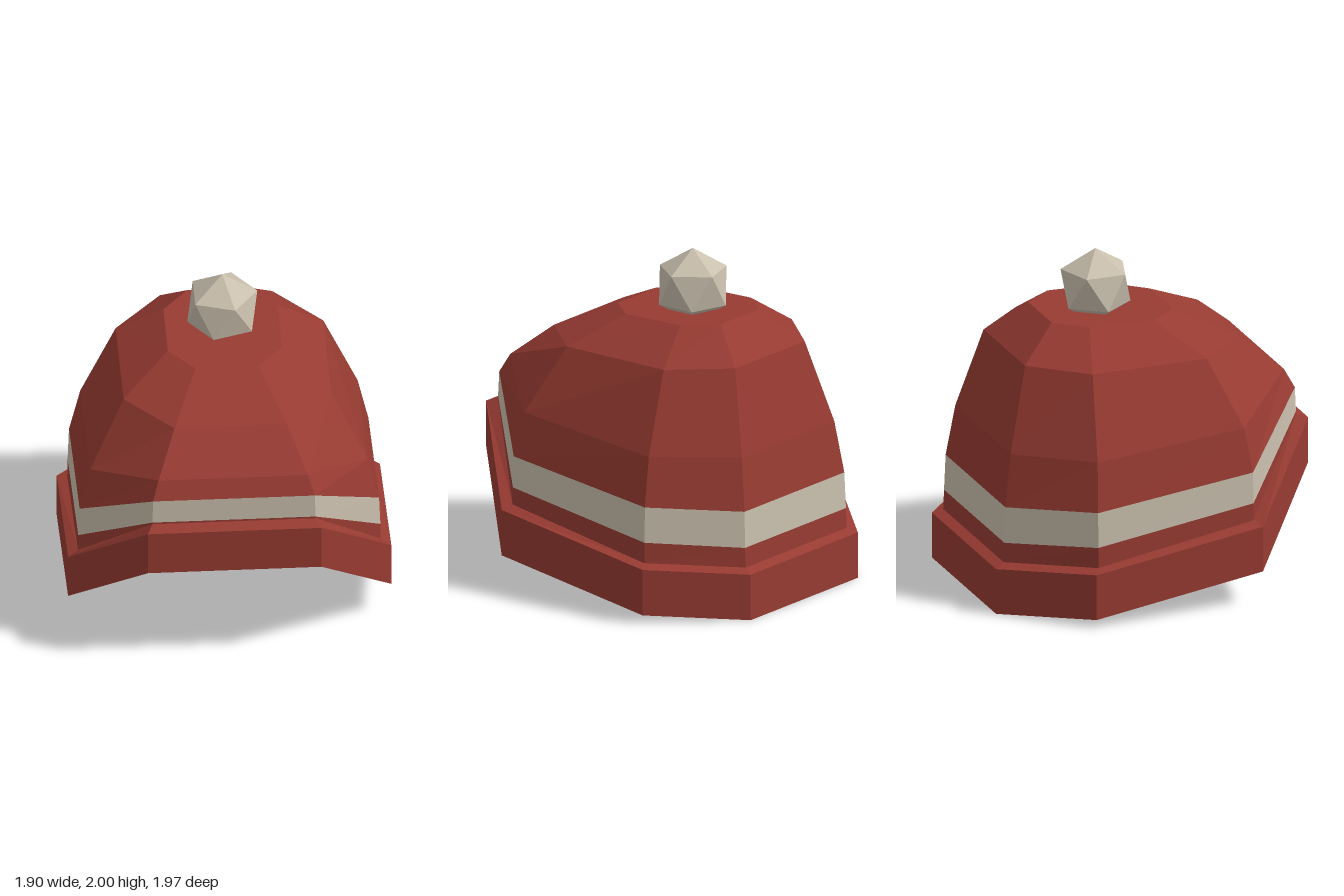
import * as THREE from 'three';

// Eight-sided ring, mirrored in x, from four corners:
// front, front side, back side, back, each as [x, y, z]
function ring(front, frontSide, backSide, back) {
  const half = [front, frontSide, backSide, back];
  const mirrored = half.map(([x, y, z]) => [-x, y, z]).reverse();
  return [...half, ...mirrored];
}

// Faceted skin through successive rings, optionally closed by a flat fan
function skin(rings, capped = false) {
  const pos = [];
  const tri = (a, b, c) => pos.push(...a, ...b, ...c);
  for (let r = 0; r + 1 < rings.length; r++) {
    const lo = rings[r], hi = rings[r + 1];
    for (let i = 0; i < lo.length; i++) {
      const j = (i + 1) % lo.length;
      tri(lo[i], lo[j], hi[j]);
      tri(lo[i], hi[j], hi[i]);
    }
  }
  if (capped) {
    const top = rings[rings.length - 1];
    const centre = [0, 1, 2].map(k => top.reduce((s, p) => s + p[k], 0) / top.length);
    top.forEach((p, i) => tri(p, top[(i + 1) % top.length], centre));
  }
  const geo = new THREE.BufferGeometry();
  geo.setAttribute('position', new THREE.Float32BufferAttribute(pos, 3));
  geo.computeVertexNormals();
  return geo;
}

function material(name, color, side = THREE.DoubleSide) {
  const m = new THREE.MeshStandardMaterial({ color, side, flatShading: true });
  m.name = name;
  return m;
}

export function createModel() {
  const hat = new THREE.Group();
  hat.name = 'knitHat';
  const red = material('redWool', 0x973b32);
  const cream = material('creamWool', 0xc9bfad);

  const add = (name, geo, mat) => {
    const mesh = new THREE.Mesh(geo, mat);
    mesh.name = name;
    hat.add(mesh);
    return mesh;
  };

  // Folded brim: a thick band raised over the forehead
  const outerBottom = ring([0.51, 0.68, 0.985], [0.95, 0.21, 0.525], [0.95, 0.05, -0.525], [0.51, 0, -0.985]);
  const outerTop = ring([0.51, 0.96, 0.985], [0.95, 0.49, 0.525], [0.95, 0.33, -0.525], [0.51, 0.28, -0.985]);
  const innerTop = ring([0.48, 0.985, 0.92], [0.89, 0.515, 0.49], [0.89, 0.35, -0.49], [0.48, 0.305, -0.925]);
  const innerBottom = ring([0.48, 0.69, 0.92], [0.89, 0.23, 0.49], [0.89, 0.07, -0.49], [0.48, 0.025, -0.925]);
  add('brim', skin([outerBottom, outerTop, innerTop, innerBottom, outerBottom]), red);

  // Crown below, at and above the stripe
  const stripeBottom = ring([0.48, 0.997, 0.92], [0.888, 0.62, 0.49], [0.888, 0.475, -0.49], [0.48, 0.425, -0.92]);
  const stripeTop = ring([0.475, 1.145, 0.915], [0.88, 0.81, 0.49], [0.88, 0.69, -0.487], [0.475, 0.645, -0.912]);
  const shoulder = ring([0.44, 1.255, 0.86], [0.815, 1.07, 0.46], [0.815, 0.98, -0.465], [0.44, 0.96, -0.865]);
  const upper = ring([0.33, 1.455, 0.62], [0.61, 1.455, 0.305], [0.61, 1.455, -0.415], [0.33, 1.455, -0.73]);
  const top = ring([0.185, 1.625, 0.26], [0.335, 1.63, 0.08], [0.335, 1.641, -0.325], [0.185, 1.645, -0.505]);
  add('crownBase', skin([innerTop, stripeBottom]), red);
  add('stripe', skin([stripeBottom, stripeTop]), cream);
  add('crown', skin([stripeTop, shoulder, upper, top], true), red);

  // Faceted pompom, one corner pointing straight up
  const pompomGeo = new THREE.IcosahedronGeometry(0.23, 0);
  pompomGeo.rotateZ(-Math.atan(2 / (1 + Math.sqrt(5))));
  add('pompom', pompomGeo, cream).position.set(0, 1.77, -0.155);

  return hat;
}
